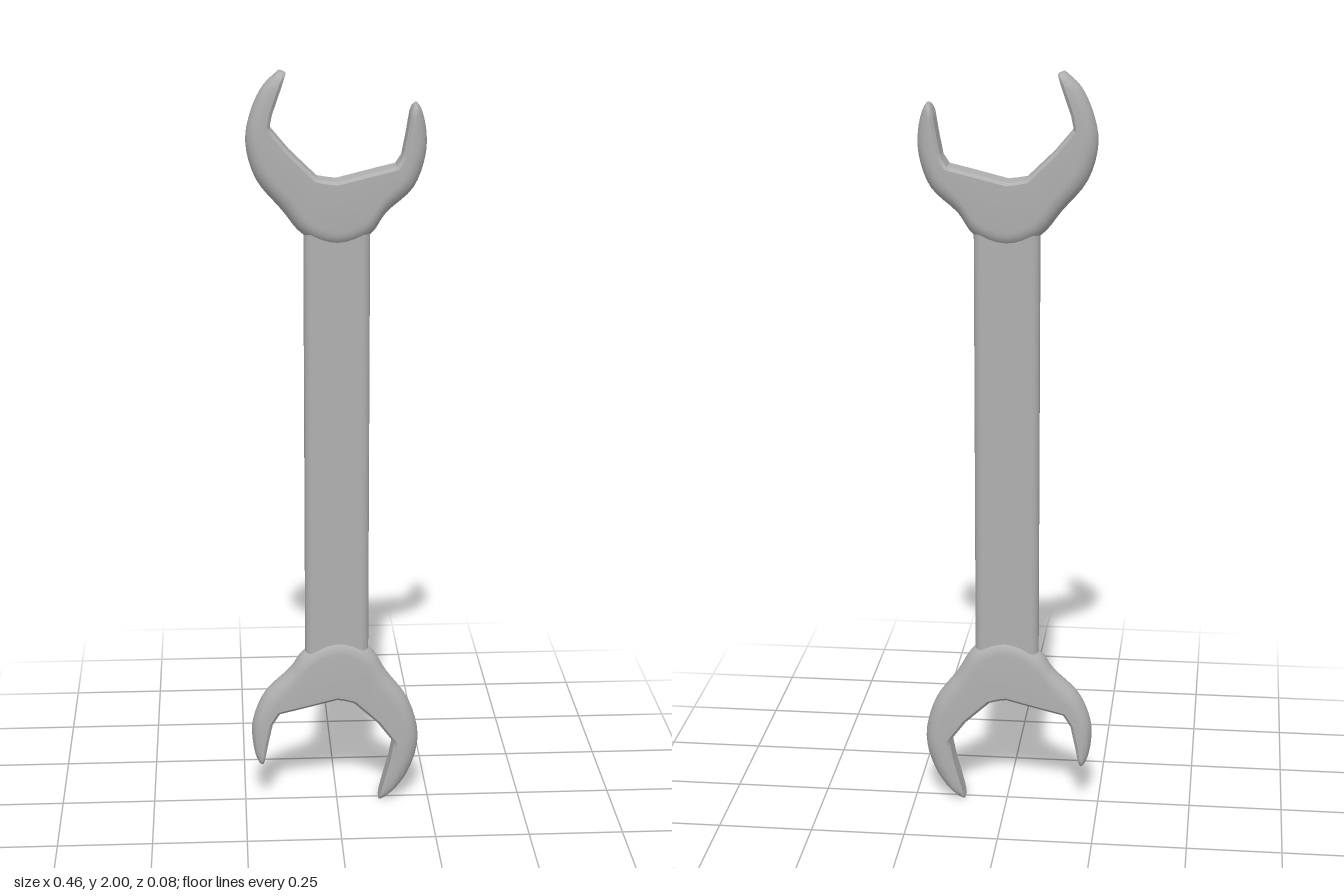
import * as THREE from 'three';
import { toCreasedNormals } from 'three/addons/utils/BufferGeometryUtils.js';
import { RoundedBoxGeometry } from 'three/addons/geometries/RoundedBoxGeometry.js';

// Stations round each open jaw, tip to tip: outer x, y and inner x, y
const UPPER = [
  [-0.145, 1.998, -0.128, 1.99], [-0.185, 1.96, -0.14, 1.955], [-0.215, 1.9, -0.163, 1.89],
  [-0.23, 1.82, -0.17, 1.855], [-0.205, 1.725, -0.12, 1.795], [-0.14, 1.645, -0.05, 1.727],
  [-0.085, 1.58, -0.02, 1.722], [0, 1.55, 0, 1.72], [0.085, 1.58, 0.04, 1.73],
  [0.125, 1.635, 0.1, 1.745], [0.195, 1.7, 0.15, 1.757], [0.225, 1.785, 0.165, 1.78],
  [0.225, 1.85, 0.175, 1.83], [0.212, 1.9, 0.185, 1.89], [0.202, 1.915, 0.193, 1.91],
];
const LOWER = [
  [0.13, 0.006, 0.114, 0.002], [0.165, 0.035, 0.125, 0.045], [0.2, 0.09, 0.145, 0.12],
  [0.222, 0.18, 0.155, 0.175], [0.195, 0.29, 0.11, 0.235], [0.135, 0.375, 0.045, 0.295],
  [0.085, 0.45, 0.02, 0.302], [0, 0.48, 0, 0.305], [-0.088, 0.44, -0.04, 0.295],
  [-0.125, 0.39, -0.1, 0.28], [-0.195, 0.32, -0.155, 0.267], [-0.228, 0.24, -0.175, 0.235],
  [-0.23, 0.19, -0.187, 0.18], [-0.222, 0.14, -0.197, 0.13], [-0.212, 0.118, -0.203, 0.115],
];

// Cross-section: full round on the outer side, crisp edges on the inner side
function section(width, h) {
  const pts = [], arc = 10;
  const r = Math.min(0.04, width * 0.6), c = Math.min(0.008, width * 0.2);
  for (let k = 0; k <= arc; k++) {
    const a = (k / arc - 0.5) * Math.PI;
    pts.push([r * (1 - Math.cos(a)), h * Math.sin(a)]);
  }
  pts.push([width - c, h], [width, h - c], [width, c - h], [width - c, -h]);
  return pts;
}

// Loft the cross-section along the stations and cap both tips
function jawGeometry(stations) {
  const steps = 4, n = stations.length - 1, total = n * steps;
  const outer = new THREE.CatmullRomCurve3(stations.map(s => new THREE.Vector3(s[0], s[1], 0)), false, 'centripetal');
  const pos = [], idx = [];
  let m = 0;
  for (let i = 0; i <= total; i++) {
    const o = outer.getPoint(i / total);
    const k = Math.min(Math.floor(i / steps), n - 1), f = i / steps - k;
    const inner = new THREE.Vector3(
      THREE.MathUtils.lerp(stations[k][2], stations[k + 1][2], f),
      THREE.MathUtils.lerp(stations[k][3], stations[k + 1][3], f), 0);
    const dir = inner.clone().sub(o), width = dir.length();
    dir.normalize();
    // Thickness rounds off towards each tip
    const e = Math.min(1, Math.min(i, total - i) / (steps * 1.5));
    const h = 0.038 * (0.5 + 0.5 * Math.sqrt(1 - (1 - e) ** 2));
    const pts = section(width, h);
    m = pts.length;
    for (const [d, z] of pts) pos.push(o.x + dir.x * d, o.y + dir.y * d, z);
  }
  for (let i = 0; i < total; i++) {
    for (let j = 0; j < m; j++) {
      const a = i * m + j, d = i * m + (j + 1) % m;
      idx.push(a, a + m, d + m, a, d + m, d);
    }
  }
  const end = total * m;
  for (let j = 1; j < m - 1; j++) {
    idx.push(0, j, j + 1);
    idx.push(end, end + j + 1, end + j);
  }
  const geo = new THREE.BufferGeometry();
  geo.setAttribute('position', new THREE.Float32BufferAttribute(pos, 3));
  geo.setIndex(idx);
  return toCreasedNormals(geo, 0.65);
}

export function createModel() {
  const steel = new THREE.MeshStandardMaterial({ color: 0xb0b0b0 });
  steel.name = 'steel grey';
  const group = new THREE.Group();
  group.name = 'openEndedWrench';
  const add = (name, geometry) => {
    const mesh = new THREE.Mesh(geometry, steel);
    mesh.name = name;
    group.add(mesh);
    return mesh;
  };

  add('upperJaw', jawGeometry(UPPER));
  add('lowerJaw', jawGeometry(LOWER));
  // Flat handle with rounded edges, running into both jaws
  add('handle', new RoundedBoxGeometry(0.17, 1.25, 0.056, 5, 0.024)).position.y = 1.015;
  return group;
}
